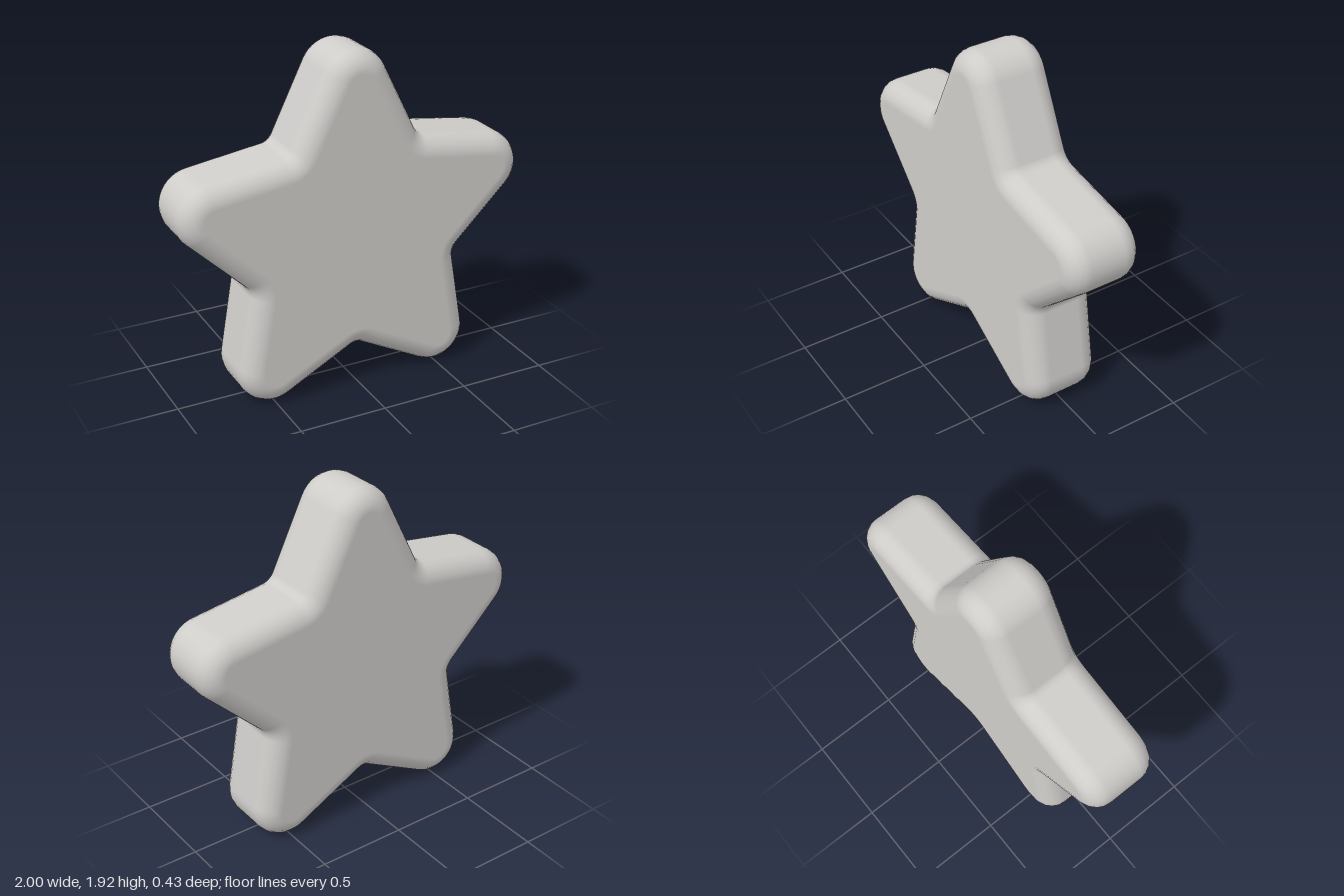
import * as THREE from 'three';

const DEG = Math.PI / 180;
const TIP_DIST = 0.852, TIP_R = 0.19;      // rounded arm tips
const VALLEY = 0.65;                       // centre to inner corners
const HALF_SPAN = 63.7 * DEG;              // half the arc of each tip
const CENTRE_Y = TIP_R + TIP_DIST * Math.cos(36 * DEG);
const HALF_DEPTH = 0.217, BEVEL = 0.117;

// Fillet radius that makes the inner corners tangent to the arm sides
const side = TIP_DIST * Math.cos(HALF_SPAN) + TIP_R;
const k = Math.cos(HALF_SPAN - 36 * DEG);
const FILLET = (VALLEY * k - side) / (1 - k);

// Outline points with their outward normals, counter-clockwise
function starOutline() {
  const pts = [];
  const arc = (centreAngle, dist, radius, from, to, steps) => {
    for (let i = 0; i <= steps; i++) {
      const a = from + (to - from) * i / steps;
      const nx = Math.cos(a), ny = Math.sin(a);
      pts.push({
        x: Math.cos(centreAngle) * dist + nx * radius,
        y: Math.sin(centreAngle) * dist + ny * radius, nx, ny,
      });
    }
  };
  for (let i = 0; i < 5; i++) {
    const tip = (90 + 72 * i) * DEG;
    arc(tip, TIP_DIST, TIP_R, tip - HALF_SPAN, tip + HALF_SPAN, 14);
    arc(tip + 36 * DEG, VALLEY + FILLET, -FILLET, tip + HALF_SPAN, tip + 72 * DEG - HALF_SPAN, 8);
  }
  return pts;
}

// Rings swept from back to front around a rounded rim, closed by flat faces
function starGeometry() {
  const outline = starOutline(), n = outline.length, steps = 5;
  const pos = [], nor = [], idx = [];
  const rings = [];
  for (const s of [-1, 1]) {
    for (let i = 0; i <= steps; i++) {
      const t = (s < 0 ? steps - i : i) / steps * Math.PI / 2;
      rings.push({ c: Math.cos(t), s: s * Math.sin(t), z: s * (HALF_DEPTH - BEVEL + BEVEL * Math.sin(t)) });
    }
  }
  for (const r of rings) {
    for (const p of outline) {
      const inset = BEVEL * (1 - r.c);
      pos.push(p.x - p.nx * inset, p.y - p.ny * inset, r.z);
      nor.push(p.nx * r.c, p.ny * r.c, r.s);
    }
  }
  for (let j = 0; j < rings.length - 1; j++) {
    for (let i = 0; i < n; i++) {
      const a = j * n + i, b = j * n + (i + 1) % n;
      idx.push(a, b, b + n, a, b + n, a + n);
    }
  }
  // flat back and front faces
  const back = rings.length * n, front = back + 1, last = (rings.length - 1) * n;
  pos.push(0, 0, -HALF_DEPTH, 0, 0, HALF_DEPTH);
  nor.push(0, 0, -1, 0, 0, 1);
  for (let i = 0; i < n; i++) {
    const m = (i + 1) % n;
    idx.push(back, m, i, front, last + i, last + m);
  }
  const g = new THREE.BufferGeometry();
  g.setAttribute('position', new THREE.Float32BufferAttribute(pos, 3));
  g.setAttribute('normal', new THREE.Float32BufferAttribute(nor, 3));
  g.setIndex(idx);
  return g;
}

export function createModel() {
  const group = new THREE.Group();
  group.name = 'roundedStar';
  const grey = new THREE.MeshStandardMaterial({ color: 0xcfcdca });
  grey.name = 'light grey';
  const star = new THREE.Mesh(starGeometry(), grey);
  star.name = 'starBody';
  star.position.y = CENTRE_Y;
  group.add(star);
  return group;
}
